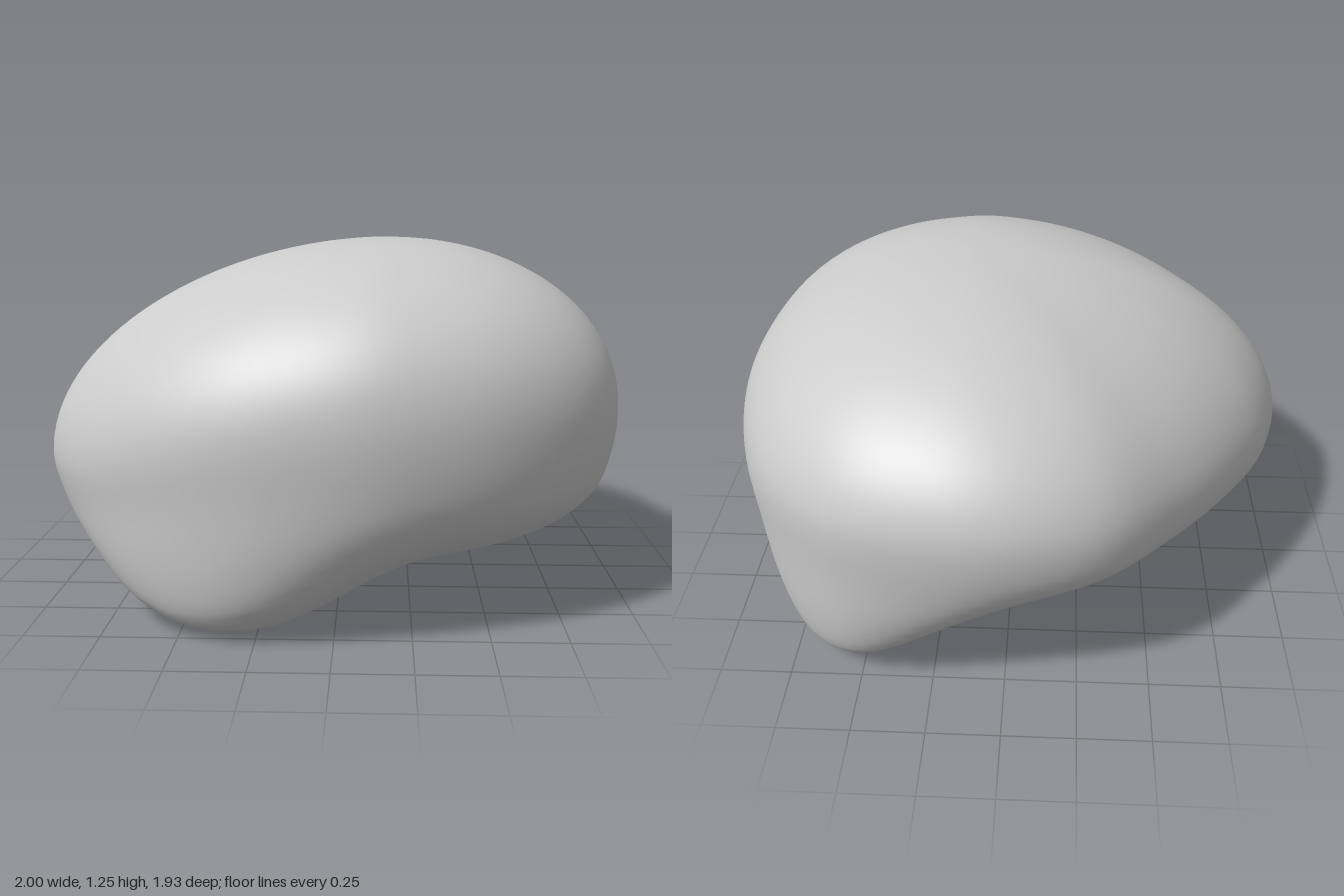
import * as THREE from 'three';

const { lerp, degToRad } = THREE.MathUtils;
const CROWN = new THREE.Vector3(0.15, 1.245, 0.1);   // top of the dome
const HOLLOW = new THREE.Vector3(0.24, 0.125, 0.17); // middle of the saddle below
const AROUND = 96, DOWN = 64;

// Widest line of the body: x, height, z
const RIM = new THREE.CatmullRomCurve3([
  [0.998, 0.63, 0.03], [0.93, 0.66, 0.4], [0.78, 0.68, 0.64], [0.54, 0.7, 0.82],
  [0.22, 0.69, 0.935], [0, 0.68, 0.96], [-0.32, 0.64, 0.92], [-0.61, 0.58, 0.8],
  [-0.82, 0.53, 0.63], [-1, 0.52, 0.32], [-0.95, 0.55, 0], [-0.8, 0.59, -0.29],
  [-0.57, 0.63, -0.6], [-0.315, 0.68, -0.86], [0, 0.72, -0.965], [0.3, 0.72, -0.945],
  [0.555, 0.7, -0.85], [0.8, 0.66, -0.615], [0.945, 0.63, -0.3],
].map(p => new THREE.Vector3(...p)), true);

// Lower profiles from rim to hollow: fraction of radius, fraction of rim height
const FOOT = [[0.985, 0.72], [0.965, 0.36], [0.92, 0.12], [0.82, 0.02], [0.67, 0], [0.42, 0.085], [0.16, 0.175]];
const FRONT_SIDE = [[0.98, 0.78], [0.93, 0.6], [0.83, 0.47], [0.7, 0.38], [0.54, 0.3], [0.35, 0.235], [0.15, 0.19]];
const BACK_SIDE = [[0.98, 0.83], [0.92, 0.72], [0.83, 0.64], [0.7, 0.56], [0.54, 0.45], [0.35, 0.33], [0.15, 0.235]];
const FOOT_ANGLES = [132, 305].map(degToRad);

// How strongly a direction belongs to one of the two feet
function footWeight(angle) {
  return Math.max(...FOOT_ANGLES.map(a => {
    const d = Math.atan2(Math.sin(angle - a), Math.cos(angle - a));
    return Math.exp(-((d / 0.6) ** 2));
  }));
}

// Crown-to-hollow profile in one direction
function profile(rimY, angle) {
  const w = footWeight(angle);
  const front = 0.5 + 0.5 * Math.cos(angle - Math.PI / 4);
  // Dome is flatter towards -x and fuller towards +z
  const power = 0.95 + 0.13 * Math.max(0, -Math.cos(angle)) - 0.06 * Math.max(0, Math.sin(angle));
  const pts = [];
  for (let i = 0; i <= 8; i++) {
    const t = (i / 8) * Math.PI / 2;
    pts.push(new THREE.Vector2(Math.sin(t) ** power,
      rimY + (CROWN.y - rimY) * Math.max(0, Math.cos(t)) ** power));
  }
  FOOT.forEach((foot, i) => {
    const [r, y] = foot.map((v, k) => lerp(lerp(BACK_SIDE[i][k], FRONT_SIDE[i][k], front), v, w));
    pts.push(new THREE.Vector2(r, y * rimY));
  });
  pts.push(new THREE.Vector2(0, HOLLOW.y));
  return new THREE.SplineCurve(pts);
}

function bodyGeometry() {
  const pos = [...CROWN], index = [];
  for (let j = 0; j < AROUND; j++) {
    const rim = RIM.getPointAt(j / AROUND);
    const curve = profile(rim.y, Math.atan2(rim.z - CROWN.z, rim.x - CROWN.x));
    for (let i = 1; i < DOWN; i++) {
      const p = curve.getPoint(i / DOWN);
      // Below the rim the axis drifts from the crown to the hollow
      const axis = CROWN.clone().lerp(HOLLOW, p.y > rim.y ? 0 : 1 - p.x);
      pos.push(lerp(axis.x, rim.x, p.x), p.y, lerp(axis.z, rim.z, p.x));
    }
  }
  pos.push(...HOLLOW);

  // Join neighbouring profiles, closing at crown and hollow
  const last = pos.length / 3 - 1;
  const id = (j, i) => i === 0 ? 0 : i === DOWN ? last : 1 + (j % AROUND) * (DOWN - 1) + i - 1;
  for (let j = 0; j < AROUND; j++) {
    for (let i = 0; i < DOWN; i++) {
      const a = id(j, i), b = id(j + 1, i), c = id(j, i + 1), d = id(j + 1, i + 1);
      if (i > 0) index.push(a, b, c);
      if (i < DOWN - 1) index.push(b, d, c);
    }
  }
  const geo = new THREE.BufferGeometry();
  geo.setAttribute('position', new THREE.Float32BufferAttribute(pos, 3));
  geo.setIndex(index);
  geo.computeBoundingBox();
  geo.translate(0, -geo.boundingBox.min.y, 0);
  geo.computeVertexNormals();
  return geo;
}

export function createModel() {
  const group = new THREE.Group();
  group.name = 'pebble';
  const body = new THREE.Mesh(bodyGeometry(), new THREE.MeshStandardMaterial({ color: 0xcccccc }));
  body.name = 'body';
  group.add(body);
  return group;
}
